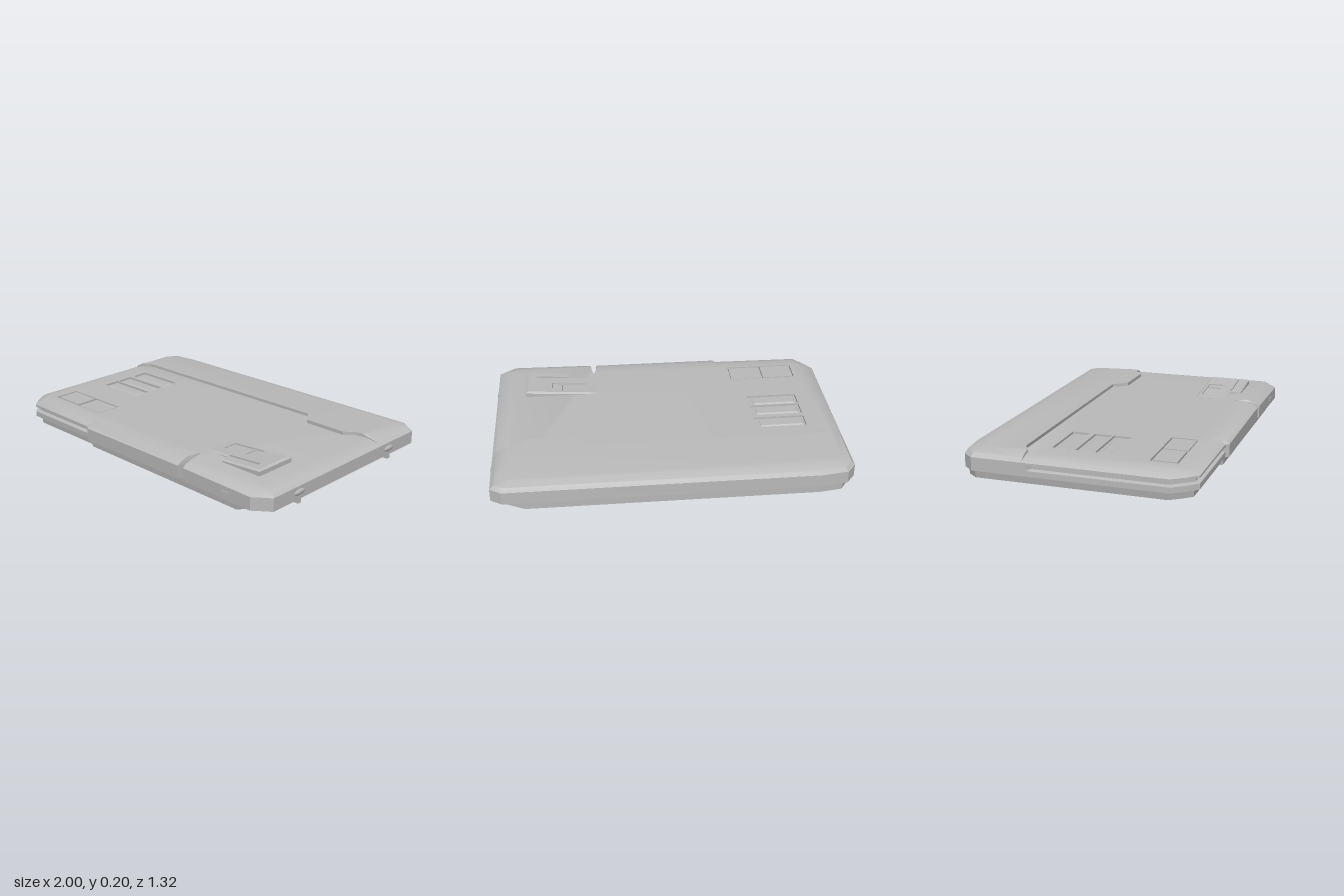
import * as THREE from 'three';
import { toCreasedNormals } from 'three/addons/utils/BufferGeometryUtils.js';

const shellGrey = new THREE.MeshStandardMaterial({ color: 0xbbbbbb });
shellGrey.name = 'shellGrey';

const rect = (x0, x1, z0, z1) => [[x0, z0], [x1, z0], [x1, z1], [x0, z1]];

// Stacks inset copies of an outline and caps them.
// Outline point: [x, z, nx, nz, groove]; nx/nz say which way the point moves when inset.
// Layer: { y (number or function of x, z), l, r, f, b = insets per side, g = groove inset }
function loft(outline, layers, holes = [], depth = 0.012) {
  const pos = [];
  const v2 = (loop) => loop.map(([x, z]) => new THREE.Vector2(x, z));
  const ccw = (loop) => (THREE.ShapeUtils.area(v2(loop)) < 0 ? [...loop].reverse() : loop);
  const tri = (...p) => p.forEach((q) => pos.push(...q));
  const wall = (low, high, inward) => low.forEach((a, i) => {
    const j = (i + 1) % low.length;
    const [b, c, d] = [low[j], high[j], high[i]];
    if (inward) { tri(a, b, c); tri(a, c, d); } else { tri(a, d, c); tri(a, c, b); }
  });
  const cap = (loop, inner, up) => {
    const flat = (l) => l.map((p) => new THREE.Vector2(p[0], p[2]));
    const all = [loop, ...inner].flat();
    for (const t of THREE.ShapeUtils.triangulateShape(flat(loop), inner.map(flat))) {
      const [a, b, c] = t.map((i) => all[i]);
      const area = (b[0] - a[0]) * (c[2] - a[2]) - (c[0] - a[0]) * (b[2] - a[2]);
      if ((area < 0) === up) tri(a, b, c); else tri(a, c, b);
    }
  };
  const pts = ccw(outline);
  const rings = layers.map(({ y, l = 0, r = 0, f = 0, b = 0, g = 0 }) =>
    pts.map(([px, pz, nx = 0, nz = 0, groove = 0]) => {
      const x = px - nx * ((nx > 0 ? r : l) + groove * g);
      const z = pz - nz * ((nz > 0 ? f : b) + groove * g);
      return [x, typeof y === 'function' ? y(x, z) : y, z];
    }));
  for (let i = 1; i < rings.length; i++) wall(rings[i - 1], rings[i]);

  // Top cap, with a sunken floor in every hole
  const yTop = layers[layers.length - 1].y;
  const rims = holes.map((h) => ccw(h).map(([x, z]) => [x, typeof yTop === 'function' ? yTop(x, z) : yTop, z]));
  cap(rings[0], [], false);
  cap(rings[rings.length - 1], rims, true);
  for (const rim of rims) {
    const floor = rim.map(([x, y, z]) => [x, y - depth, z]);
    wall(floor, rim, true);
    cap(floor, [], true);
  }
  const geo = new THREE.BufferGeometry();
  geo.setAttribute('position', new THREE.Float32BufferAttribute(pos, 3));
  return toCreasedNormals(geo, 0.5);
}

export function createModel() {
  const model = new THREE.Group();
  model.name = 'flatCase';
  const add = (name, geo, x = 0, y = 0, z = 0) => {
    const m = new THREE.Mesh(geo, shellGrey);
    m.name = name;
    m.position.set(x, y, z);
    model.add(m);
    return m;
  };

  // Outline seen from above: back edge, right end, front edge with slit, left end with groove
  const slit = [[0.42, 0.648, 0, 1], [0.405, 0.5], [0.395, 0.5], [0.38, 0.645, 0, 1]];
  const rightPart = [
    [-0.8, -0.66, 0, -1], [0.93, -0.66, 0.5, -1], [0.992, -0.62, 1, -0.5],
    [0.992, 0.59, 1, 0.5], [0.9, 0.66, 0.5, 1],
  ];
  const leftPart = [
    [-0.37, 0.642, 0, 1], [-0.385, 0.622, 0, 1], [-0.39, 0.622, 0, 1, 1], [-0.9, 0.615, -0.5, 1, 1],
    [-0.95, 0.56, -0.8, 0.8, 1], [-1, 0.49, -1, 0.5, 1], [-1, -0.25, -1, 0, 1], [-1, -0.27, -1, 0],
    [-1, -0.58, -1, -0.5], [-0.95, -0.64, -0.8, -0.8],
  ];

  // Underside tray, sloping up towards the right end
  add('bottomTray', loft([...rightPart, ...leftPart], [
    { y: 0.01, l: 0.035, r: 0.24, f: 0.035, b: 0.012 },
    { y: 0.06, l: 0.025, r: 0.005, f: 0.03, b: 0.01 },
  ]));

  // Upper shell with vent cells and a sunken panel
  const vents = [-0.205, -0.075, 0.035].map((z) => rect(-0.81, -0.515, z, z + 0.1));
  add('upperShell', loft([...rightPart, ...slit, ...leftPart], [
    { y: 0.059 },
    { y: 0.09 },
    { y: 0.095, g: 0.025 },
    { y: 0.115, g: 0.025 },
    { y: 0.12 },
    { y: 0.132 },
    { y: 0.148, l: 0.025, r: 0.02, f: 0.025, b: 0.02 },
    { y: 0.163, l: 0.07, r: 0.09, f: 0.07, b: 0.04 },
  ], [...vents, rect(-0.85, -0.445, 0.34, 0.49)]));

  // Rounded slats inside the vent cells
  for (const z of [-0.155, -0.025, 0.085]) {
    add('ventSlat', loft(rect(-0.8, -0.54, z - 0.035, z + 0.035).map(([x, q]) => [x, q, Math.sign(x + 0.67), Math.sign(q - z)]), [
      { y: 0.15 }, { y: 0.157, l: 0.01, r: 0.01, f: 0.01, b: 0.01 },
    ]));
  }

  // Keys in the sunken panel
  add('squareKey', new THREE.BoxGeometry(0.18, 0.012, 0.13), -0.745, 0.157, 0.415);
  add('panelCover', new THREE.BoxGeometry(0.18, 0.009, 0.135), -0.545, 0.156, 0.415);

  // Raised band along the back
  add('backBand', loft([
    [-0.8, -0.66, 0, -1], [0.93, -0.66, 0.5, -1], [0.992, -0.62, 1, -0.5], [0.992, -0.3, 1, 0],
    [0.88, -0.29], [0.84, -0.28], [0.79, -0.235], [0.53, -0.24], [0.47, -0.325],
    [-0.86, -0.325], [-0.89, -0.315], [-0.9, -0.3], [-0.92, -0.29], [-1, -0.295, -1, 0],
    [-1, -0.58, -1, -0.5], [-0.95, -0.64, -0.8, -0.8],
  ], [
    { y: 0.131 },
    { y: 0.155, l: 0.02, r: 0.025, b: 0.015 },
    { y: (x, z) => 0.181 + 0.035 * (z + 0.3), l: 0.075, r: 0.09, b: 0.06 },
  ]));

  // Wedge-shaped raised pad at the front right with a sunken window
  const ramp = (x) => 0.165 + 0.03 * THREE.MathUtils.clamp((x - 0.4) / 0.4, 0, 1);
  add('cornerPad', loft([
    [0.38, 0.25, 0, -1], [0.82, 0.25, 1, -1], [0.82, 0.5, 1, 1], [0.56, 0.5, 0, 1],
    [0.55, 0.44, 0, 1], [0.4, 0.44, 0, 1],
  ], [
    { y: 0.155 },
    { y: (x) => ramp(x) - 0.007 },
    { y: ramp, r: 0.015, f: 0.012, b: 0.012 },
  ], [rect(0.45, 0.66, 0.275, 0.365)], 0.007));
  add('windowBar', new THREE.BoxGeometry(0.008, 0.02, 0.09), 0.6, 0.169, 0.32);
  add('padLip', new THREE.BoxGeometry(0.2, 0.012, 0.012), 0.66, 0.187, 0.435).rotation.z = 0.075;

  // Latches on the right end
  for (const z of [0.39, -0.39]) {
    const knob = add('latchKnob', new THREE.SphereGeometry(1, 24, 12), 0.988, 0.098, z);
    knob.scale.set(0.012, 0.018, 0.045);
    add('latchTab', new THREE.BoxGeometry(0.05, 0.04, 0.024), 0.968, 0.056, z);
  }

  // Small port at the front, and feet
  add('frontPort', new THREE.BoxGeometry(0.055, 0.016, 0.006), 0.73, 0.097, 0.657);
  for (const x of [-0.81, 0.68]) {
    for (const z of [0.48, -0.42]) add('foot', new THREE.BoxGeometry(0.15, 0.014, 0.11), x, 0.007, z);
  }
  return model;
}
